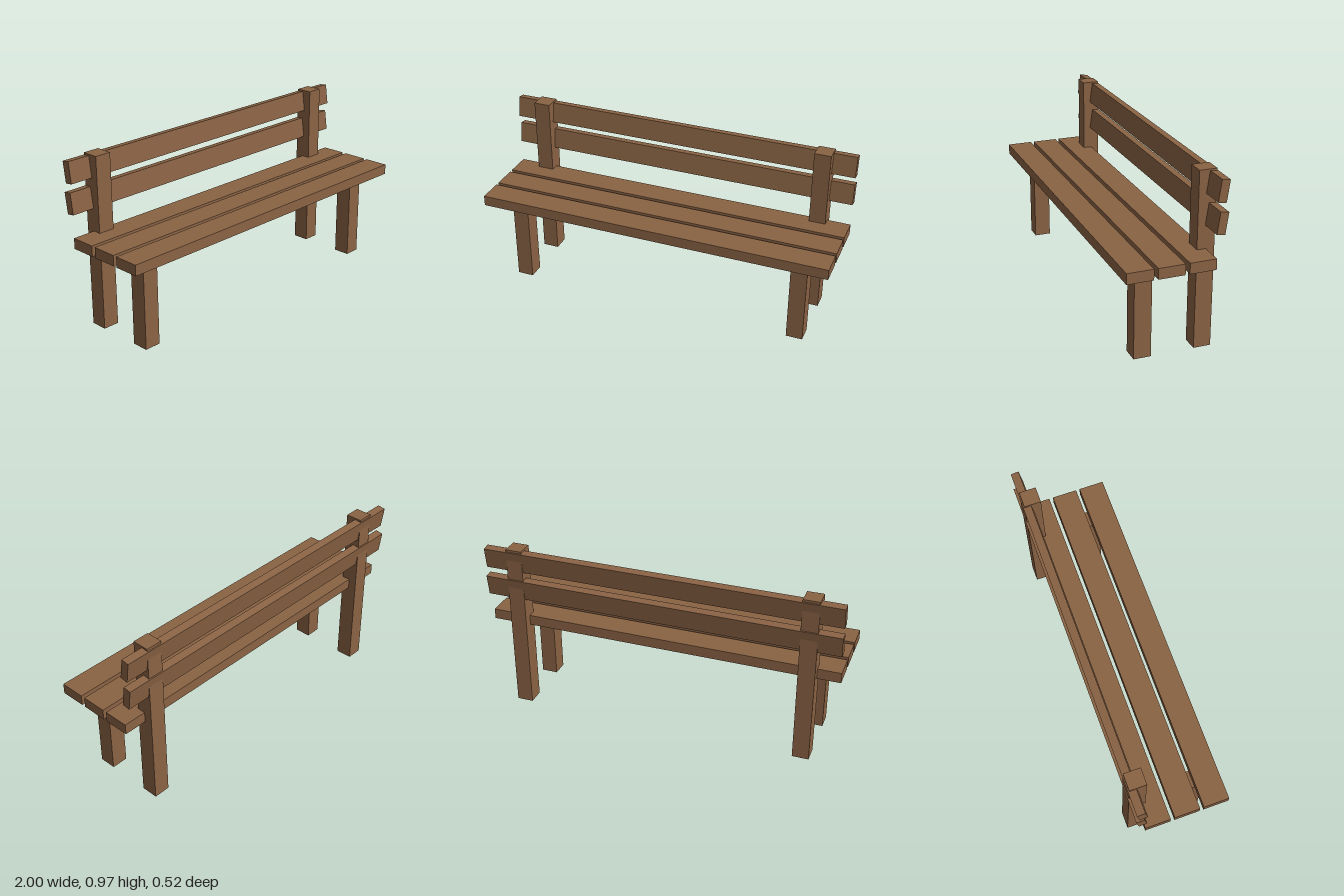
import * as THREE from 'three';

export function createModel() {
  const bench = new THREE.Group();
  bench.name = 'bench';
  const wood = new THREE.MeshStandardMaterial({ color: 0x8a6344 });
  wood.name = 'brown wood';

  function beam(name, size, position, tilt = 0) {
    const mesh = new THREE.Mesh(new THREE.BoxGeometry(...size), wood);
    mesh.name = name;
    mesh.position.set(...position);
    mesh.rotation.x = tilt;
    bench.add(mesh);
  }

  // Seat planks, front to back
  [0.192, 0.028, -0.137].forEach((z, i) =>
    beam(`seatPlank${i + 1}`, [2, 0.059, 0.142], [0, 0.52, z]));

  // Tilted backrest planks, set into the rear posts
  [0.731, 0.897].forEach((y, i) =>
    beam(`backPlank${i + 1}`, [2, 0.117, 0.045], [0, y, -0.2315], -0.14));

  // Short front legs and tall rear posts
  for (const [side, s] of [['left', 1], ['right', -1]]) {
    beam(`${side}FrontLeg`, [0.092, 0.495, 0.094], [s * 0.825, 0.2475, 0.122]);
    beam(`${side}RearPost`, [0.092, 0.966, 0.094], [s * 0.825, 0.483, -0.208]);
  }
  return bench;
}
